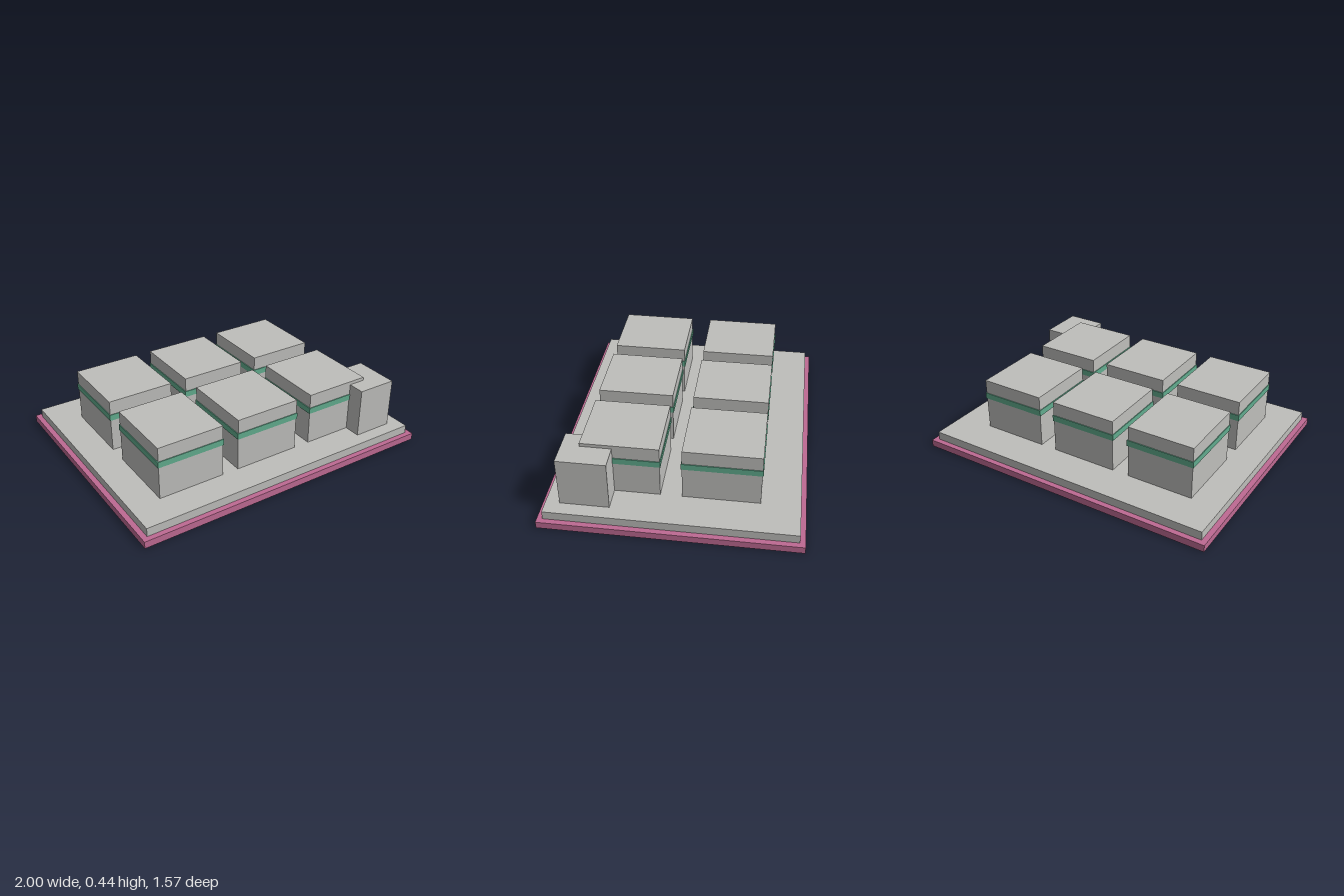
import * as THREE from 'three';

export function createModel() {
  const group = new THREE.Group();
  const concrete = new THREE.MeshStandardMaterial({ name: 'concreteGrey', color: 0xbebebb });
  const pink = new THREE.MeshStandardMaterial({ name: 'basePink', color: 0xbe6a93 });
  const green = new THREE.MeshStandardMaterial({ name: 'bandGreen', color: 0x61ac8e });

  // Box centred on (x, z) that spans y0 to y1
  function addBox(parent, name, material, x, z, width, depth, y0, y1) {
    const mesh = new THREE.Mesh(new THREE.BoxGeometry(width, y1 - y0, depth), material);
    mesh.name = name;
    mesh.position.set(x, (y0 + y1) / 2, z);
    parent.add(mesh);
  }

  // Stepped base
  addBox(group, 'basePlate', pink, 0, 0, 2, 1.57, 0, 0.045);
  addBox(group, 'upperSlab', concrete, 0, 0, 1.932, 1.502, 0.045, 0.1);

  // Two rows of three blocks, each with a slightly proud band
  for (const z of [-0.278, 0.322]) {
    for (const x of [-0.56, -0.023, 0.514]) {
      const building = new THREE.Group();
      building.name = 'building';
      building.position.set(x, 0, z);
      addBox(building, 'buildingBlock', concrete, 0, 0, 0.43, 0.47, 0.1, 0.443);
      addBox(building, 'buildingBand', green, 0, 0, 0.44, 0.48, 0.314, 0.353);
      group.add(building);
    }
  }

  // Corner tower overlapping the front left block
  addBox(group, 'cornerTower', concrete, 0.749, 0.516, 0.258, 0.3, 0.1, 0.421);

  return group;
}
